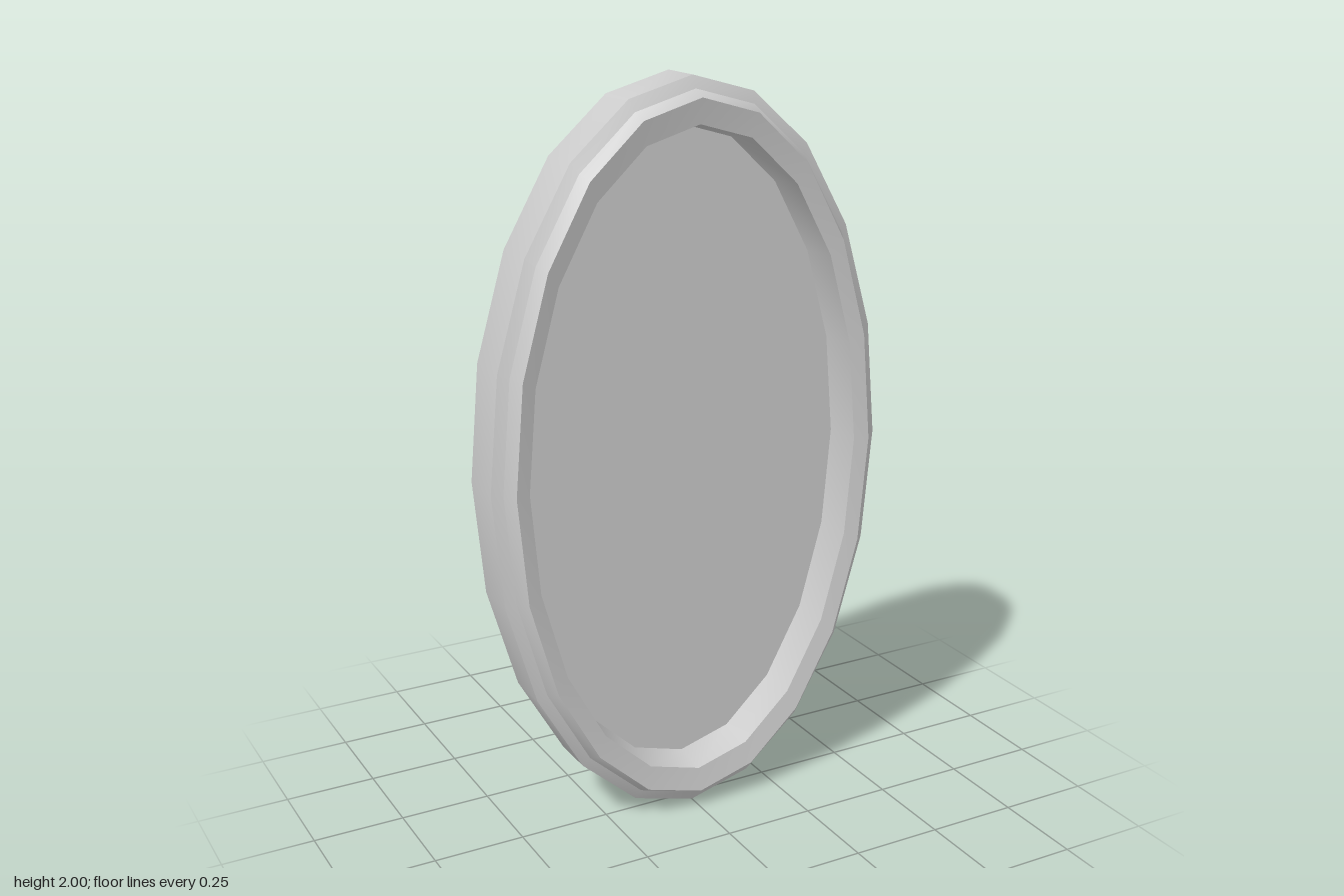
import * as THREE from 'three';

const SIDES = 20;

// Frame profile from the back edge, over the front, to the panel: [half width, half height, z]
const PROFILE = [
  [0.57, 1.0, -0.09],
  [0.57, 1.0, 0.037],
  [0.543, 0.968, 0.053],
  [0.522, 0.95, 0.088],
  [0.482, 0.884, 0.077],
  [0.473, 0.874, -0.025],
];

// One oval strip between two profile rings, smooth around its length
function ovalBand(from, to) {
  const positions = [];
  const indices = [];
  for (const [rx, ry, z] of [from, to]) {
    for (let i = 0; i < SIDES; i++) {
      const a = (i / SIDES) * Math.PI * 2;
      positions.push(rx * Math.cos(a), ry * Math.sin(a), z);
    }
  }
  for (let i = 0; i < SIDES; i++) {
    const n = (i + 1) % SIDES;
    indices.push(i, n, n + SIDES, i, n + SIDES, i + SIDES);
  }
  const geometry = new THREE.BufferGeometry();
  geometry.setAttribute('position', new THREE.Float32BufferAttribute(positions, 3));
  geometry.setIndex(indices);
  geometry.computeVertexNormals();
  return geometry;
}

export function createModel() {
  const model = new THREE.Group();
  model.name = 'ovalFrame';
  const material = new THREE.MeshStandardMaterial({ color: 0xcccccc, side: THREE.DoubleSide });

  // Thin moulded frame, open at the back, with sharp edges between bands
  const names = ['outerWall', 'outerBevel', 'frontStep', 'frontRim', 'innerWall'];
  const frame = new THREE.Group();
  frame.name = 'frame';
  names.forEach((name, i) => {
    const band = new THREE.Mesh(ovalBand(PROFILE[i], PROFILE[i + 1]), material);
    band.name = name;
    frame.add(band);
  });

  // Flat recessed panel closing the inner wall
  const [rx, ry, z] = PROFILE[PROFILE.length - 1];
  const panel = new THREE.Mesh(new THREE.CircleGeometry(1, SIDES).scale(rx, ry, 1), material);
  panel.name = 'panel';
  panel.position.z = z;

  model.add(frame, panel);
  model.position.y = 1;
  return model;
}
